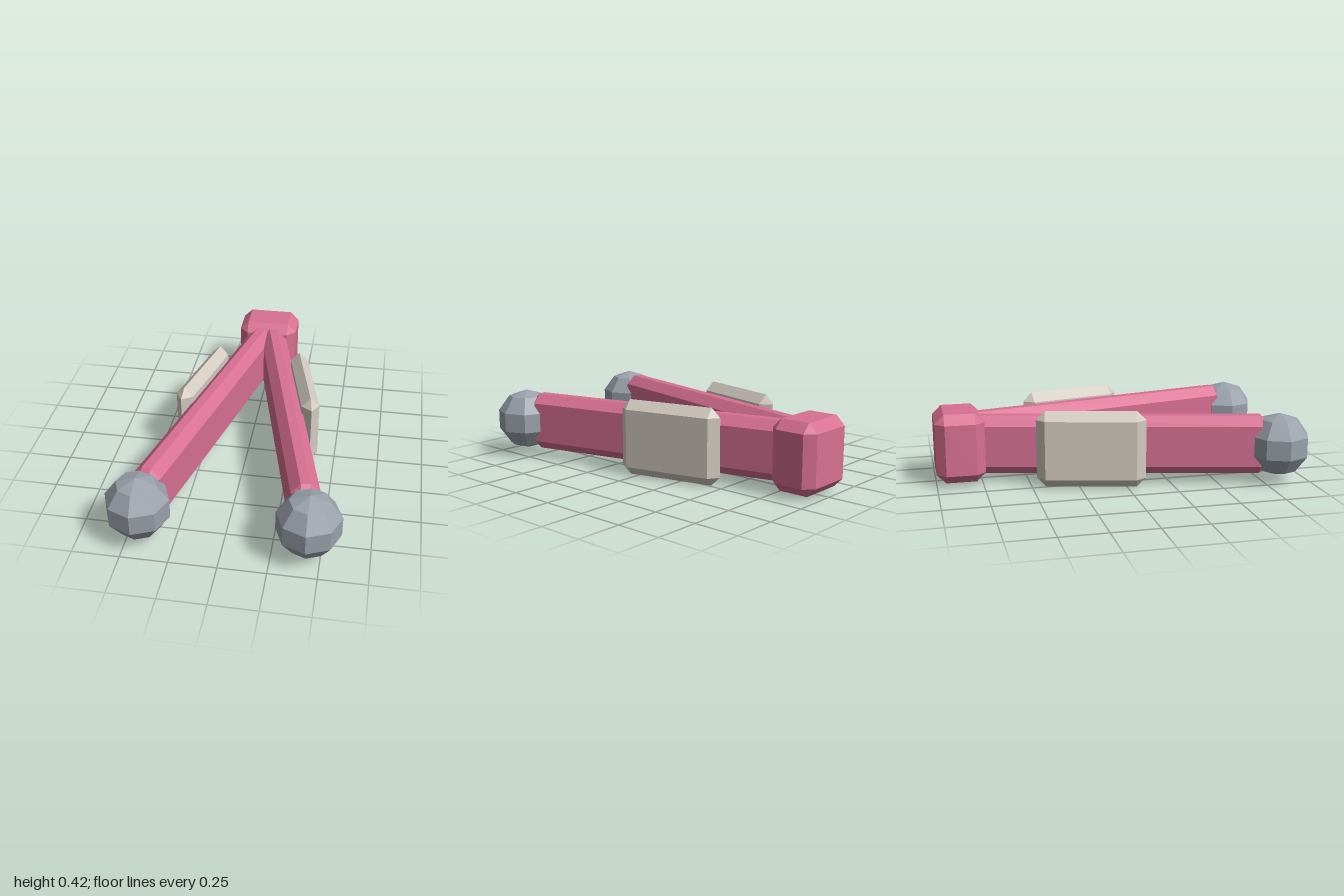
import * as THREE from 'three';
import { ConvexGeometry } from 'three/addons/geometries/ConvexGeometry.js';

const flat = (name, color) => {
  const m = new THREE.MeshStandardMaterial({ color, flatShading: true });
  m.name = name;
  return m;
};

// Box with every edge cut at 45 degrees and triangular corners
function chamferBox(w, h, d, c) {
  const points = [];
  for (const sx of [-1, 1]) for (const sy of [-1, 1]) for (const sz of [-1, 1]) {
    const [x, y, z] = [w / 2, h / 2, d / 2];
    points.push(
      new THREE.Vector3(sx * x, sy * (y - c), sz * (z - c)),
      new THREE.Vector3(sx * (x - c), sy * y, sz * (z - c)),
      new THREE.Vector3(sx * (x - c), sy * (y - c), sz * z)
    );
  }
  return new ConvexGeometry(points);
}

export function createModel() {
  const pink = flat('pink', 0xd87093);
  const grey = flat('grey', 0x9aa1aa);
  const beige = flat('beige', 0xd2cac0);
  const model = new THREE.Group();
  model.name = 'hingedFrame';
  const midY = 0.21;

  const add = (parent, name, geometry, material, x, y, z) => {
    const mesh = new THREE.Mesh(geometry, material);
    mesh.name = name;
    mesh.position.set(x, y, z);
    parent.add(mesh);
    return mesh;
  };

  // Hinge block joining the two arms at the back
  add(model, 'hingeBlock', chamferBox(0.35, 0.38, 0.265, 0.05), pink, 0, midY, -0.8675);

  const armGeometry = chamferBox(0.15, 0.325, 1.67, 0.05);
  const padGeometry = chamferBox(0.1, 0.42, 0.59, 0.0495);
  const ballGeometry = new THREE.SphereGeometry(0.175, 8, 5);

  for (const [side, s] of [['left', 1], ['right', -1]]) {
    // Splayed arm with a pad on its outer face
    const arm = new THREE.Group();
    arm.name = side + 'Arm';
    arm.position.set(s * 0.216, midY, -0.03);
    arm.rotation.y = s * 0.2393;
    model.add(arm);
    add(arm, side + 'Beam', armGeometry, pink, 0, 0, 0);
    add(arm, side + 'Pad', padGeometry, beige, s * 0.115, 0, -0.132);

    // Faceted ball at the front end
    add(model, side + 'Ball', ballGeometry, grey, s * 0.4336, midY, 0.8336);
  }
  return model;
}
